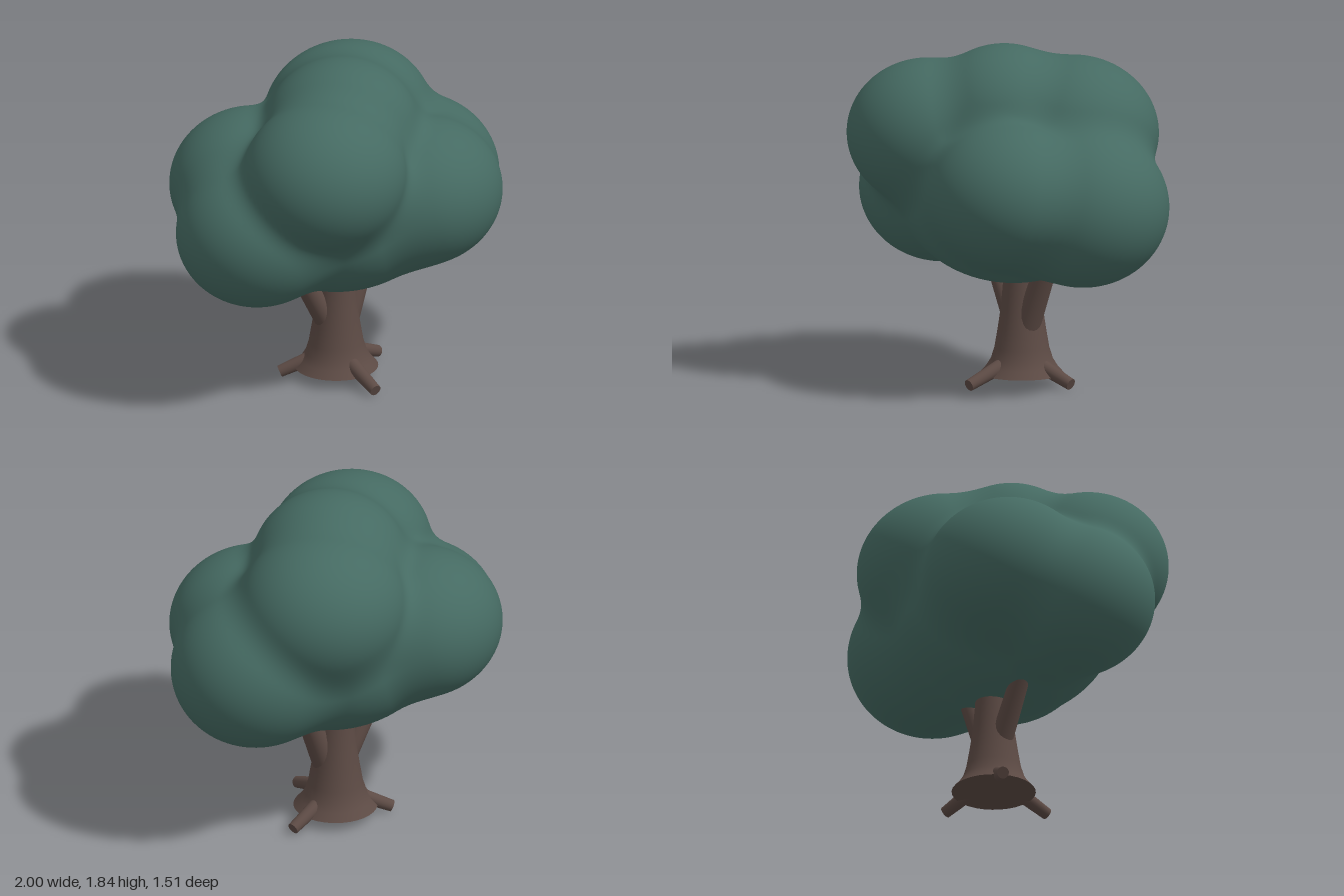
import * as THREE from 'three';
import { mergeVertices } from 'three/addons/utils/BufferGeometryUtils.js';

const mat = (name, color) => {
  const m = new THREE.MeshStandardMaterial({ color });
  m.name = name;
  return m;
};

// Foliage lobes: centre and radii of each ellipsoid
const LOBES = [
  { c: [0, 1.05, 0], r: [0.62, 0.485, 0.58] },          // core
  { c: [-0.36, 1.36, 0.26], r: [0.45, 0.40, 0.43] },    // upper front
  { c: [0.28, 1.11, 0.32], r: [0.46, 0.40, 0.435] },    // lower front
  { c: [-0.55, 1.0, -0.05], r: [0.45, 0.40, 0.43] },    // low side
  { c: [0.52, 1.04, 0.02], r: [0.48, 0.435, 0.45] },    // low opposite side
  { c: [0.26, 1.38, -0.20], r: [0.47, 0.41, 0.44] },    // upper back
  { c: [-0.33, 1.14, -0.33], r: [0.45, 0.40, 0.43] },   // lower back
  { c: [-0.02, 1.46, 0.04], r: [0.42, 0.39, 0.42] },    // crown
];
const BLEND = 0.09;

// Smoothly blended distance to all lobes
function foliageField(x, y, z) {
  let d = Infinity;
  for (const { c, r } of LOBES) {
    const e = (Math.hypot((x - c[0]) / r[0], (y - c[1]) / r[1], (z - c[2]) / r[2]) - 1) * 0.42;
    const h = d === Infinity ? 0 : Math.max(BLEND - Math.abs(d - e), 0) / BLEND;
    d = Math.min(d, e) - h * h * BLEND * 0.25;
  }
  return d;
}

// A fine ball whose vertices are moved along their rays onto the blended surface
function foliageGeometry() {
  const ball = new THREE.IcosahedronGeometry(1, 40);
  ball.deleteAttribute('uv');
  ball.deleteAttribute('normal');
  const geo = mergeVertices(ball, 1e-5);
  const pos = geo.attributes.position;
  const centre = new THREE.Vector3(0, 1.12, 0);
  const dir = new THREE.Vector3();
  const step = 0.015;
  for (let i = 0; i < pos.count; i++) {
    dir.fromBufferAttribute(pos, i).normalize();
    const at = (t) => foliageField(centre.x + dir.x * t, centre.y + dir.y * t, centre.z + dir.z * t);
    let t = 1.2, outer = at(t), inner = outer;
    while (t > 0.2) {
      inner = at(t - step);
      if (inner < 0) break;
      outer = inner;
      t -= step;
    }
    t -= step * outer / (outer - inner);
    pos.setXYZ(i, centre.x + dir.x * t, centre.y + dir.y * t, centre.z + dir.z * t);
  }
  geo.computeVertexNormals();
  return geo;
}

// Tapered round limb between two points
function limb(name, from, to, r0, r1, material) {
  const a = new THREE.Vector3(...from), b = new THREE.Vector3(...to);
  const dir = b.clone().sub(a);
  const mesh = new THREE.Mesh(new THREE.CylinderGeometry(r1, r0, dir.length(), 20), material);
  mesh.position.copy(a).add(b).multiplyScalar(0.5);
  mesh.quaternion.setFromUnitVectors(new THREE.Vector3(0, 1, 0), dir.normalize());
  mesh.name = name;
  return mesh;
}

export function createModel() {
  const tree = new THREE.Group();
  tree.name = 'tree';
  const bark = mat('bark brown', 0x5c4a44);
  const leaf = mat('leaf green', 0x456a62);

  const foliage = new THREE.Mesh(foliageGeometry(), leaf);
  foliage.name = 'foliage';
  tree.add(foliage);

  // Flared trunk
  const profile = [[0.225, 0.06], [0.19, 0.1], [0.166, 0.14], [0.147, 0.2],
    [0.13, 0.3], [0.112, 0.42], [0.1, 0.56], [0.092, 0.75]];
  const trunk = new THREE.Mesh(
    new THREE.LatheGeometry(profile.map(([r, y]) => new THREE.Vector2(r, y)), 32), bark);
  trunk.position.set(0.025, 0, -0.05);
  trunk.name = 'trunk';
  tree.add(trunk);

  // Closed underside
  const base = new THREE.Mesh(new THREE.CircleGeometry(0.225, 32), bark);
  base.rotation.x = Math.PI / 2;
  base.position.set(0.025, 0.06, -0.05);
  base.name = 'trunkBase';
  tree.add(base);

  // Three spreading roots
  const roots = [[-0.03, 0.31], [0.355, -0.075], [-0.215, -0.235]];
  roots.forEach(([x, z], i) => {
    const sx = 0.025 + (x - 0.025) * 0.3, sz = -0.05 + (z + 0.05) * 0.3;
    tree.add(limb('root' + (i + 1), [sx, 0.125, sz], [x, 0.035, z], 0.042, 0.032, bark));
  });

  // Branches rising into the foliage
  tree.add(limb('leftBranch', [0.08, 0.32, -0.03], [0.24, 0.72, -0.03], 0.07, 0.058, bark));
  tree.add(limb('rightBranch', [-0.03, 0.32, -0.06], [-0.25, 0.72, -0.1], 0.062, 0.05, bark));

  return tree;
}
